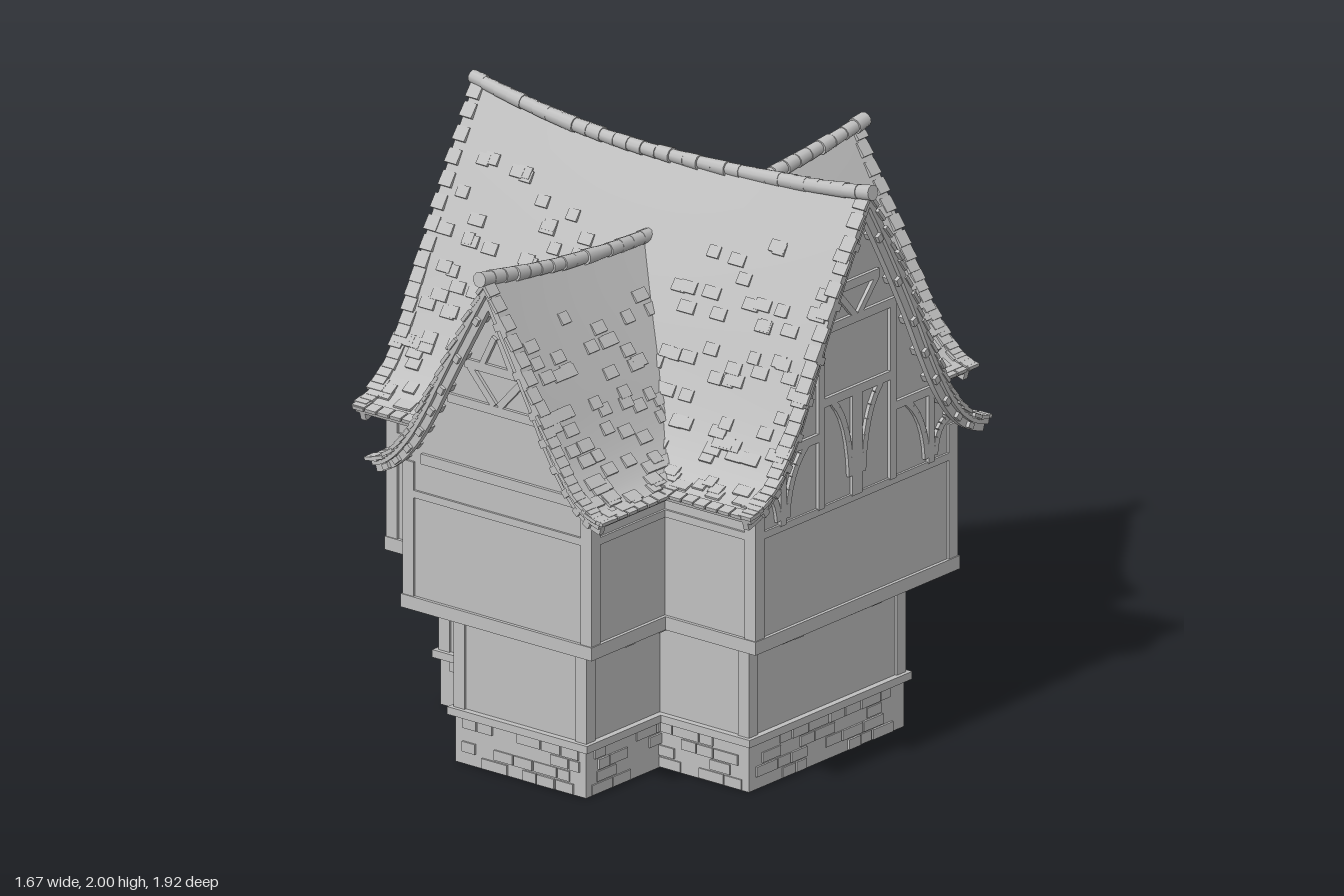
import * as THREE from 'three';
import { mergeGeometries, toCreasedNormals } from 'three/addons/utils/BufferGeometryUtils.js';

const EAVE = 1.03;
let seed = 7;
const rnd = () => (seed = (seed * 16807) % 2147483647) / 2147483647;
const jit = (a) => (rnd() * 2 - 1) * a;

function box(w, h, d, x, y, z, rx = 0, ry = 0, rz = 0) {
  const m = new THREE.Matrix4().makeRotationFromEuler(new THREE.Euler(rx, ry, rz)).setPosition(x, y, z);
  return new THREE.BoxGeometry(w, h, d).applyMatrix4(m);
}

export function createModel() {
  const house = new THREE.Group();
  house.name = 'house';
  const grey = new THREE.MeshStandardMaterial({ color: 0xc0c0c0, side: THREE.DoubleSide });
  grey.name = 'plain grey';

  function add(parent, name, geos) {
    const list = [].concat(geos).map((g) => (g.index ? g.toNonIndexed() : g));
    const mesh = new THREE.Mesh(list.length > 1 ? mergeGeometries(list) : list[0], grey);
    mesh.name = name;
    parent.add(mesh);
    return mesh;
  }

  // Cross-shaped plan: X, Z are arm ends, xw, zw the arms' half widths
  const plan = ([X, Z, xw, zw], o = 0) => {
    X += o; Z += o; xw += o; zw += o;
    return [[xw, Z], [xw, zw], [X, zw], [X, -zw], [xw, -zw], [xw, -Z],
      [-xw, -Z], [-xw, -zw], [-X, -zw], [-X, zw], [-xw, zw], [-xw, Z]].map((p) => new THREE.Vector2(...p));
  };
  const ring = (p, out, thick, y, h) => {
    const s = new THREE.Shape(plan(p, out));
    if (thick) s.holes.push(new THREE.Path(plan(p, out - thick)));
    return new THREE.ExtrudeGeometry(s, { depth: h, bevelEnabled: false }).rotateX(-Math.PI / 2).translate(0, y, 0);
  };
  const posts = ([X, Z, xw, zw], y, h, w) => {
    const out = [];
    for (const sx of [1, -1]) for (const sz of [1, -1])
      for (const [x, z] of [[xw, Z], [X, zw]])
        out.push(box(w, h, w, sx * (x - w / 2 + 0.008), y + h / 2, sz * (z - w / 2 + 0.008)));
    return out;
  };

  const lower = [0.63, 0.755, 0.265, 0.385], upper = [0.75, 0.87, 0.38, 0.5];

  // Ground floor and stone base
  add(house, 'groundWalls', ring(lower, 0, 0.04, 0.1, 0.43));
  add(house, 'groundPosts', posts(lower, 0.18, 0.35, 0.045));
  add(house, 'stoneBase', ring(lower, 0.003, 0.046, 0, 0.16));
  add(house, 'baseLedge', ring(lower, 0.022, 0.07, 0.16, 0.026));
  const stones = [], corners = plan(lower, -0.02);
  corners.forEach((a, i) => {
    const b = corners[(i + 1) % 12], len = a.distanceTo(b), ang = Math.atan2(b.y - a.y, b.x - a.x);
    for (let row = 0; row < 4; row++)
      for (let t = rnd() * 0.04; t < len - 0.03;) {
        const w = Math.min(0.05 + rnd() * 0.06, len - t), c = a.clone().lerp(b, (t + w / 2) / len);
        if (rnd() < 0.65) stones.push(box(w - 0.006, 0.034, 0.058 + jit(0.004), c.x, 0.02 + row * 0.04, c.y, 0, -ang, 0));
        t += w;
      }
  });
  add(house, 'baseStones', stones);

  // Jettied upper floor
  add(house, 'upperWalls', ring(upper, 0, 0.04, 0.53, 0.51));
  add(house, 'floorSlab', ring(upper, 0, 0, 0.54, 0.02));
  add(house, 'upperPosts', posts(upper, 0.53, 0.5, 0.045));
  add(house, 'sillBeam', ring(upper, 0.012, 0.05, 0.53, 0.045));
  add(house, 'midRail', ring(upper, 0.008, 0.04, 0.91, 0.025));
  const planks = [];
  for (let z = -0.84; z < 0.86; z += 0.056)
    planks.push(box(Math.abs(z) < 0.48 ? 1.5 : 0.76, 0.02, 0.049, 0, 0.533 + jit(0.003), z));
  add(house, 'floorPlanks', planks);

  // One roofed wing, ridge along its local z
  function wing(name, profile, L, sag, wallZ, wallX, truss) {
    const g = new THREE.Group();
    g.name = name;
    house.add(g);
    const pts = new THREE.SplineCurve(profile.map((p) => new THREE.Vector2(...p))).getPoints(28);
    const n = pts.length - 1;
    const sAt = (z) => 1 - sag * (1 - (z / L) ** 2);
    const bendY = (y, z) => (y > EAVE ? EAVE + (y - EAVE) * sAt(z) : y);
    const bend = (geo) => {
      const p = geo.attributes.position;
      for (let i = 0; i < p.count; i++) p.setY(i, bendY(p.getY(i), p.getZ(i)));
      return toCreasedNormals(geo, 0.6);
    };
    const slope = (i) => pts[Math.min(i + 1, n)].clone().sub(pts[Math.max(i - 1, 0)]).normalize();
    const offset = (d) => pts.map((p, i) => {
      const t = slope(i);
      return i ? new THREE.Vector2(p.x + t.y * d, p.y - t.x * d) : new THREE.Vector2(0, p.y - d / t.x);
    }).filter((p, i) => !i || p.x > 0.002);
    const mirrored = (half) => [...half.slice(1).reverse().map((p) => new THREE.Vector2(-p.x, p.y)), ...half];
    const extrude = (outline, z0, depth, steps = 1) => bend(new THREE.ExtrudeGeometry(new THREE.Shape(outline),
      { depth, steps, bevelEnabled: false }).translate(0, 0, z0));
    const strip = (d0, d1) => [...mirrored(offset(d0)), ...mirrored(offset(d1)).reverse()];

    add(g, 'roofShell', extrude(strip(0, 0.022), -L + 0.008, 2 * L - 0.016, 20));

    // Tiles: loose patches, verge rows and eave rows
    const tiles = [];
    const tile = (side, t, z, w, len, tilt) => {
      const i = Math.min(Math.floor(t * n), n - 1), f = t * n - i;
      const p = pts[i].clone().lerp(pts[i + 1], f), d = pts[i + 1].clone().sub(pts[i]);
      const a = Math.atan2(d.y * sAt(z), d.x) + tilt;
      tiles.push(box(len, 0.012, w, side * p.x, bendY(p.y, z) + 0.001, z, 0, 0, side * a));
    };
    for (const side of [1, -1]) {
      for (const e of [1, -1]) {
        for (let k = 0; k < 24; k++) tile(side, (k + 0.6) / 24.6, e * (L - 0.026 + jit(0.006)), 0.05, 0.05, 0.14);
        for (const zc of [0.35, 0.6, 0.86]) for (const tc of [0.2, 0.42, 0.62, 0.84])
          for (let k = 0; k < 7; k++)
            tile(side, tc + Math.round(jit(2.4)) * 0.036 + jit(0.004), e * (zc * L + jit(0.1)), 0.04 + rnd() * 0.025, 0.04, 0.12);
      }
      for (let z = -L + 0.03; z < L - 0.02; z += 0.05) tile(side, 0.975 + jit(0.005), z, 0.044, 0.04, 0.06);
    }
    add(g, 'roofTiles', tiles);

    // Ridge caps
    const caps = [], count = Math.round((2 * L) / 0.055), step = (2 * L + 0.02) / count;
    for (let k = 0; k < count; k++) {
      const z = -L - 0.01 + (k + 0.5) * step, r = 0.022 + rnd() * 0.005;
      const tiltX = -Math.atan((2 * sag * z / L / L) * (pts[0].y - EAVE));
      caps.push(new THREE.CylinderGeometry(r, r * 0.92, step, 10).rotateX(Math.PI / 2 + tiltX)
        .translate(0.01 * Math.sin(z * 5) + jit(0.002), bendY(pts[0].y, z) + 0.008, z));
    }
    add(g, 'ridgeCaps', caps);

    // Gable ends, alike at both ends
    for (const e of [0, 1]) {
      const end = new THREE.Group();
      end.name = e ? 'rearGable' : 'frontGable';
      end.rotation.y = e * Math.PI;
      g.add(end);
      const half = offset(0.02).filter((p) => p.x < wallX);
      half.push(new THREE.Vector2(wallX, half[half.length - 1].y), new THREE.Vector2(wallX, 0.98));
      add(end, 'gableWall', extrude(mirrored(half), wallZ - 0.04, 0.04));
      add(end, 'bargeBoard', extrude(strip(0.018, 0.048), L - 0.045, 0.022));
      const ends = [];
      for (let i = 3; i < n - 1; i += 3) for (const s of [1, -1]) {
        const t = slope(i), p = pts[i];
        ends.push(box(0.026, 0.02, L - wallZ + 0.01, s * (p.x + t.y * 0.034), p.y - t.x * 0.034, (L + wallZ) / 2 - 0.015,
          0, 0, s * Math.atan2(t.y, t.x)));
      }
      add(end, 'purlinEnds', ends);
      const beams = [];
      const beam = (x1, y1, x2, y2, w) => beams.push(box(Math.hypot(x2 - x1, y2 - y1), w, 0.024,
        (x1 + x2) / 2, (y1 + y2) / 2, wallZ, 0, 0, Math.atan2(y2 - y1, x2 - x1)));
      truss(beam, (x1, y1, cx, cy, x2, y2, w) => {
        const c = new THREE.QuadraticBezierCurve(new THREE.Vector2(x1, y1), new THREE.Vector2(cx, cy), new THREE.Vector2(x2, y2)).getPoints(6);
        for (let i = 0; i < 6; i++) beam(c[i].x, c[i].y, c[i + 1].x, c[i + 1].y, w);
      });
      add(end, 'gableTimbers', beams);
    }
    return g;
  }

  // Main wing across, with framed gables
  wing('mainWing', [[0, 1.96], [0.12, 1.75], [0.24, 1.52], [0.32, 1.35], [0.39, 1.215], [0.46, 1.115], [0.53, 1.055], [0.6, 1.03]],
    0.82, 0.075, 0.75, 0.5, (beam, curve) => {
      beam(-0.11, 1.65, 0.11, 1.65, 0.03);
      beam(-0.19, 1.53, 0.19, 1.53, 0.03);
      beam(-0.19, 1.285, 0.19, 1.285, 0.03);
      beam(0, 0.93, 0, 1.28, 0.05);
      for (const s of [1, -1]) {
        beam(s * 0.01, 1.54, s * 0.1, 1.64, 0.022);
        beam(s * 0.18, 0.93, s * 0.18, 1.53, 0.03);
        beam(s * 0.18, 1.175, s * 0.37, 1.175, 0.028);
        beam(s * 0.37, 0.93, s * 0.37, 1.18, 0.028);
        curve(s * 0.03, 1.0, s * 0.04, 1.2, s * 0.12, 1.275, 0.024);
        curve(s * 0.35, 0.95, s * 0.34, 1.1, s * 0.25, 1.17, 0.024);
        curve(s * 0.39, 0.95, s * 0.4, 1.05, s * 0.46, 1.06, 0.024);
      }
    }).rotation.y = Math.PI / 2;

  // Crossing wing, lower and narrower
  wing('crossWing', [[0, 1.74], [0.1, 1.56], [0.2, 1.375], [0.26, 1.26], [0.32, 1.16], [0.38, 1.085], [0.43, 1.045], [0.47, 1.03]],
    0.945, 0.115, 0.87, 0.38, (beam) => {
      beam(-0.13, 1.42, 0.13, 1.42, 0.03);
      beam(-0.2, 1.285, 0.2, 1.285, 0.03);
      beam(-0.31, 1.05, 0.31, 1.05, 0.035);
      for (const s of [1, -1]) {
        beam(s * 0.01, 1.3, s * 0.11, 1.41, 0.024);
        beam(s * 0.01, 1.53, s * 0.06, 1.43, 0.02);
      }
    });

  return house;
}
